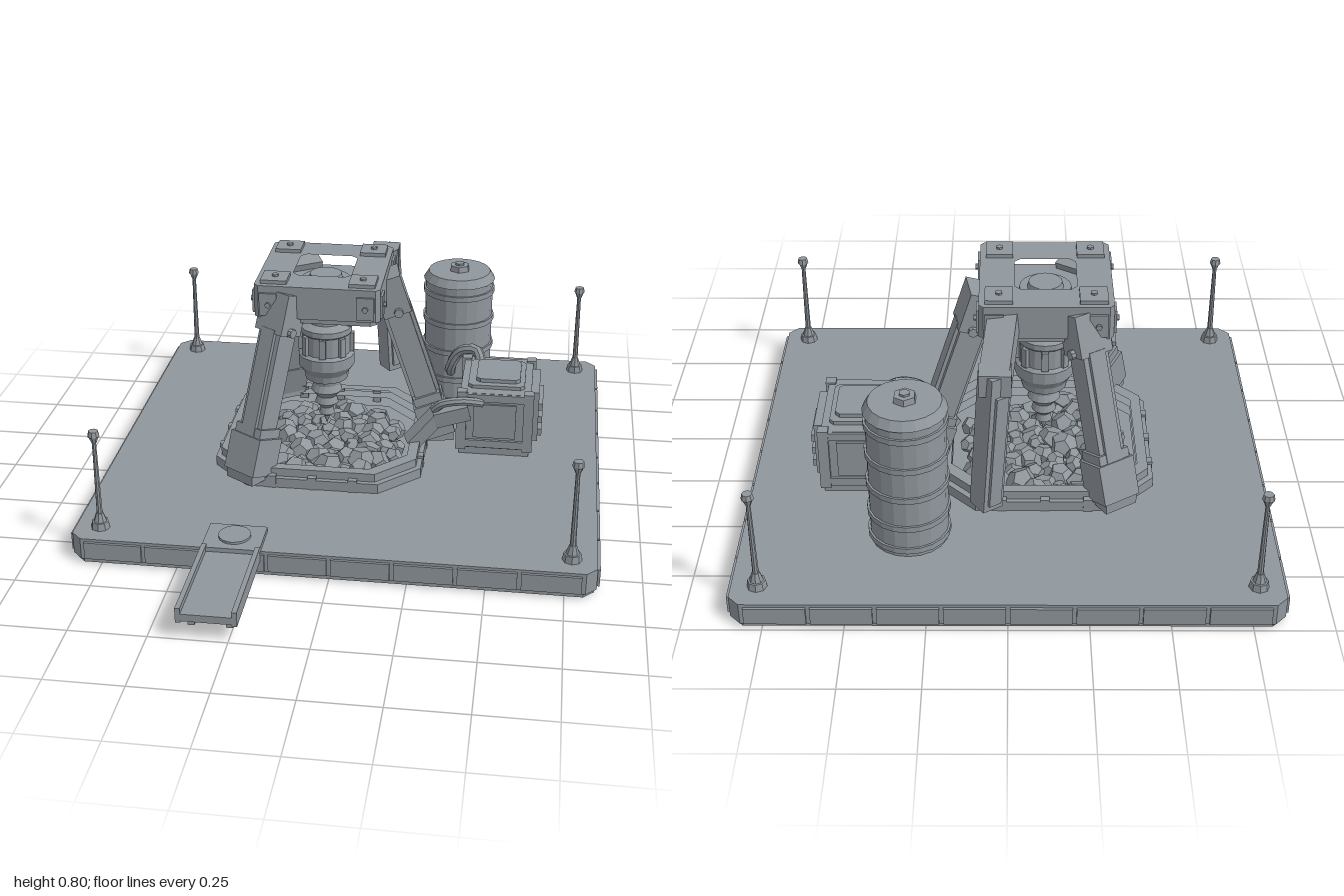
import * as THREE from 'three';

const steel = new THREE.MeshStandardMaterial({ color: 0x8f969c, flatShading: true });
steel.name = 'grey steel';
const V = (x, y, z) => new THREE.Vector3(x, y, z);

function add(parent, name, geo, x = 0, y = 0, z = 0) {
  const m = new THREE.Mesh(geo, steel);
  m.name = name;
  m.position.set(x, y, z);
  parent.add(m);
  return m;
}
const box = (p, name, w, h, d, x, y, z) => add(p, name, new THREE.BoxGeometry(w, h, d), x, y, z);
const cyl = (p, name, rt, rb, h, x, y, z, n = 16) =>
  add(p, name, new THREE.CylinderGeometry(rt, rb, h, n), x, y, z);

// box stretched between two points
function beam(p, name, a, b, w, d) {
  const dir = b.clone().sub(a);
  const m = box(p, name, w, dir.length(), d, 0, 0, 0);
  m.position.copy(a).add(b).multiplyScalar(0.5);
  m.quaternion.setFromUnitVectors(V(0, 1, 0), dir.normalize());
  return m;
}
// rectangle with cut corners, in plan
function outline(cx, cz, hx, hz, c) {
  return [[-hx, c - hz], [c - hx, -hz], [hx - c, -hz], [hx, c - hz], [hx, hz - c], [hx - c, hz], [c - hx, hz], [-hx, hz - c]]
    .map(([x, z]) => new THREE.Vector2(cx + x, -cz - z));
}
function slab(p, name, y0, y1, pts, hole) {
  const s = new THREE.Shape(pts);
  if (hole) s.holes.push(new THREE.Path(hole));
  const g = new THREE.ExtrudeGeometry(s, { depth: y1 - y0, bevelEnabled: false });
  g.rotateX(-Math.PI / 2);
  return add(p, name, g, 0, y0, 0);
}
function group(parent, name, x = 0, y = 0, z = 0) {
  const g = new THREE.Group();
  g.name = name;
  g.position.set(x, y, z);
  parent.add(g);
  return g;
}

const CX = -0.12, CZ = -0.165; // drill axis
const PZ = -0.185;             // platform centre

function buildPlatform(root) {
  const g = group(root, 'platform');
  const pit = () => outline(CX, CZ, 0.31, 0.31, 0.12);
  slab(g, 'bottomPlate', 0, 0.015, outline(0, PZ, 0.845, 0.795, 0.035));
  slab(g, 'deck', 0.015, 0.09, outline(0, PZ, 0.852, 0.802, 0.035), pit());
  // edge panels
  for (let i = 0; i < 8; i++) {
    const t = (i - 3.5) / 8;
    for (const s of [-1, 1]) {
      box(g, 'edgePanel', 0.19, 0.06, 0.016, t * 1.62, 0.05, PZ + s * 0.803);
      box(g, 'edgePanel', 0.016, 0.06, 0.18, s * 0.853, 0.05, PZ + t * 1.52);
    }
  }
  // raised pit rim
  slab(g, 'pitKerb', 0.088, 0.125, outline(CX, CZ, 0.362, 0.362, 0.135), pit());
  slab(g, 'pitRim', 0.125, 0.155, outline(CX, CZ, 0.345, 0.345, 0.13), pit());
  for (let i = 0; i < 4; i++) {
    const a = i * Math.PI / 2;
    for (const t of [-0.14, 0, 0.14]) {
      const b = box(g, 'kerbClamp', 0.02, 0.045, 0.03,
        CX + 0.355 * Math.cos(a) - t * Math.sin(a), 0.112, CZ + 0.355 * Math.sin(a) + t * Math.cos(a));
      b.rotation.y = -a;
    }
  }
}

function buildRocks(root) {
  const g = group(root, 'rocks');
  let seed = 7;
  const rnd = () => (seed = (seed * 16807) % 2147483647) / 2147483647;
  for (let i = 0; i < 64; i++) {
    const r = 0.275 * Math.sqrt((i + 0.5) / 64), a = i * 2.39996;
    const size = 0.034 + rnd() * 0.02;
    const m = add(g, 'rock', new THREE.DodecahedronGeometry(size),
      CX + r * Math.cos(a), 0.075 + rnd() * 0.03, CZ + r * Math.sin(a));
    m.scale.set(1, 0.75 + rnd() * 0.3, 0.8 + rnd() * 0.4);
    m.rotation.set(rnd() * 3, rnd() * 6, rnd() * 3);
  }
}

function buildTower(root) {
  const t = group(root, 'tower', CX, 0, CZ);
  // head with square well
  const well = () => outline(0, 0, 0.1, 0.1, 0.02);
  slab(t, 'headBase', 0.64, 0.7, outline(0, 0, 0.2, 0.2, 0.02));
  slab(t, 'headTop', 0.66, 0.775, outline(0, 0, 0.214, 0.214, 0.015), well());
  cyl(t, 'wellRing', 0.085, 0.09, 0.03, 0, 0.715, 0, 20);
  cyl(t, 'wellCap', 0.055, 0.06, 0.02, 0, 0.738, 0, 20);
  for (const x of [-1, 1]) for (const z of [-1, 1]) {
    box(t, 'cornerPlate', 0.09, 0.016, 0.09, x * 0.15, 0.78, z * 0.15);
    cyl(t, 'cornerBolt', 0.012, 0.012, 0.01, x * 0.15, 0.79, z * 0.15, 6);
  }
  for (let i = 0; i < 4; i++) {
    const s = group(t, 'headSide');
    s.rotation.y = i * Math.PI / 2;
    for (const z of [-1, 1]) {
      box(s, 'sidePlate', 0.012, 0.08, 0.06, 0.216, 0.71, z * 0.165);
      const b = cyl(s, 'sideBolt', 0.01, 0.01, 0.012, 0.225, 0.71, z * 0.165, 6);
      b.rotation.z = Math.PI / 2;
    }
  }
  // three splayed legs
  for (const deg of [-10, 123, 237]) {
    const leg = group(t, 'leg');
    leg.rotation.y = -deg * Math.PI / 180;
    const top = V(0.205, 0.74, 0), foot = V(0.405, 0.135, 0);
    const at = k => top.clone().lerp(foot, k);
    beam(leg, 'legBeam', top, foot, 0.08, 0.095);
    beam(leg, 'legSleeve', top, at(0.22), 0.1, 0.12);
    beam(leg, 'legSpine', at(0.2), at(0.8), 0.105, 0.06);
    beam(leg, 'footSleeve', at(0.79), at(1), 0.115, 0.135);
    beam(leg, 'footCollar', at(0.74), at(0.8), 0.1, 0.115);
    box(leg, 'footPad', 0.11, 0.04, 0.12, 0.4, 0.135, 0);
    for (const z of [-1, 1]) {
      const pin = cyl(leg, 'legPin', 0.016, 0.016, 0.02, 0.25, 0.62, z * 0.065, 8);
      pin.rotation.x = Math.PI / 2;
    }
  }
  // drill
  const profile = [[0, 0.165], [0.012, 0.2], [0.028, 0.21], [0.022, 0.235], [0.042, 0.255], [0.034, 0.28],
    [0.056, 0.305], [0.046, 0.33], [0.05, 0.35], [0.076, 0.355], [0.08, 0.38], [0.1, 0.41], [0.1, 0.45],
    [0.088, 0.46], [0.088, 0.53], [0.092, 0.535], [0.092, 0.555], [0.062, 0.57], [0.062, 0.65]];
  add(t, 'drill', new THREE.LatheGeometry(profile.map(p => new THREE.Vector2(...p)), 16));
  for (let i = 0; i < 8; i++) {
    const a = i * Math.PI / 4;
    const rib = box(t, 'drillRib', 0.018, 0.07, 0.022, 0.09 * Math.cos(a), 0.495, 0.09 * Math.sin(a));
    rib.rotation.y = -a;
  }
  for (const s of [-1, 1]) box(t, 'drillHanger', 0.025, 0.14, 0.04, s * 0.075, 0.6, 0);
  // rear suction arm
  const a = V(0.135, 0.715, -0.2), e = V(0.16, 0.655, -0.45), b = V(0.19, 0.195, -0.46);
  beam(t, 'armTop', a, e, 0.095, 0.065);
  beam(t, 'armDrop', e.clone().add(V(0, 0.03, 0)), b, 0.075, 0.075);
  beam(t, 'armRib', e.clone().lerp(b, 0.08), e.clone().lerp(b, 0.95), 0.045, 0.095);
  box(t, 'armElbow', 0.1, 0.075, 0.075, 0.16, 0.655, -0.445);
}

function buildGenerator(root) {
  const g = group(root, 'generator', 0.485, 0, -0.28);
  box(g, 'base', 0.25, 0.04, 0.28, 0, 0.105, 0);
  slab(g, 'body', 0.12, 0.335, outline(0, 0, 0.125, 0.15, 0.015));
  for (const x of [-1, 1]) for (const z of [-1, 1])
    box(g, 'cornerPost', 0.035, 0.225, 0.035, x * 0.118, 0.23, z * 0.145);
  for (const z of [-1, 1]) for (const y of [0.14, 0.32])
    box(g, 'frameRail', 0.24, 0.028, 0.03, 0, y, z * 0.145);
  for (const z of [-1, 1]) box(g, 'facePanel', 0.15, 0.13, 0.012, 0, 0.23, z * 0.152);
  box(g, 'sidePanel', 0.03, 0.19, 0.2, 0.138, 0.23, 0);
  for (const y of [0.16, 0.21, 0.26]) box(g, 'sideVent', 0.014, 0.025, 0.16, 0.16, y, 0);
  slab(g, 'lid', 0.335, 0.348, outline(0, 0, 0.1, 0.11, 0.015));
  slab(g, 'hatch', 0.348, 0.362, outline(0.005, 0, 0.078, 0.085, 0.015));
  // feed chute into the pit
  const chute = group(root, 'feedChute');
  beam(chute, 'chuteBeam', V(0.39, 0.27, -0.14), V(0.27, 0.24, -0.12), 0.06, 0.07);
  beam(chute, 'chuteEnd', V(0.285, 0.25, -0.12), V(0.19, 0.14, -0.1), 0.05, 0.055);
  const hose = (name, r, ...pts) =>
    add(root, name, new THREE.TubeGeometry(new THREE.CatmullRomCurve3(pts), 14, r, 8));
  hose('frontHose', 0.016, V(0.44, 0.3, -0.125), V(0.37, 0.315, -0.1), V(0.3, 0.3, -0.1), V(0.27, 0.27, -0.11));
  hose('tankHose', 0.02, V(0.42, 0.3, -0.41), V(0.4, 0.355, -0.45), V(0.34, 0.34, -0.475), V(0.3, 0.26, -0.5), V(0.31, 0.2, -0.56));
}

function buildTank(root) {
  const g = group(root, 'tank', 0.315, 0, -0.635);
  cyl(g, 'tankBody', 0.126, 0.126, 0.49, 0, 0.335, 0, 20);
  for (const y of [0.115, 0.2, 0.31, 0.42, 0.53]) cyl(g, 'tankHoop', 0.133, 0.133, 0.02, 0, y, 0, 20);
  cyl(g, 'tankLid', 0.115, 0.133, 0.03, 0, 0.585, 0, 20);
  cyl(g, 'tankCap', 0.036, 0.04, 0.025, 0, 0.608, 0, 6);
  cyl(g, 'capKnob', 0.018, 0.018, 0.012, 0, 0.622, 0, 6);
}

function buildPost(root, x, z) {
  const g = group(root, 'lampPost', x, 0, z);
  cyl(g, 'postBase', 0.028, 0.032, 0.025, 0, 0.102, 0, 8);
  cyl(g, 'postSocket', 0.012, 0.022, 0.03, 0, 0.13, 0, 8);
  cyl(g, 'postRod', 0.007, 0.01, 0.27, 0, 0.275, 0, 8);
  cyl(g, 'lampNeck', 0.018, 0.008, 0.025, 0, 0.415, 0, 8);
  cyl(g, 'lamp', 0.016, 0.02, 0.018, 0, 0.436, 0, 8);
}

function buildRamp(root) {
  const g = group(root, 'ramp', -0.315, 0, 0);
  box(g, 'landing', 0.19, 0.016, 0.15, 0, 0.098, 0.565);
  cyl(g, 'landingDisc', 0.053, 0.053, 0.008, 0, 0.11, 0.56, 20);
  box(g, 'trayFloor', 0.18, 0.025, 0.375, 0, 0.078, 0.8125);
  for (const s of [-1, 1]) {
    box(g, 'trayRail', 0.016, 0.05, 0.375, s * 0.087, 0.085, 0.8125);
    for (const z of [0.75, 0.935]) box(g, 'trayFoot', 0.022, 0.05, 0.022, s * 0.06, 0.042, z);
  }
}

export function createModel() {
  const root = new THREE.Group();
  root.name = 'drillingRig';
  buildPlatform(root);
  buildRocks(root);
  buildTower(root);
  buildGenerator(root);
  buildTank(root);
  for (const x of [-0.77, 0.77]) for (const z of [-0.9, 0.535]) buildPost(root, x, z);
  buildRamp(root);
  return root;
}
